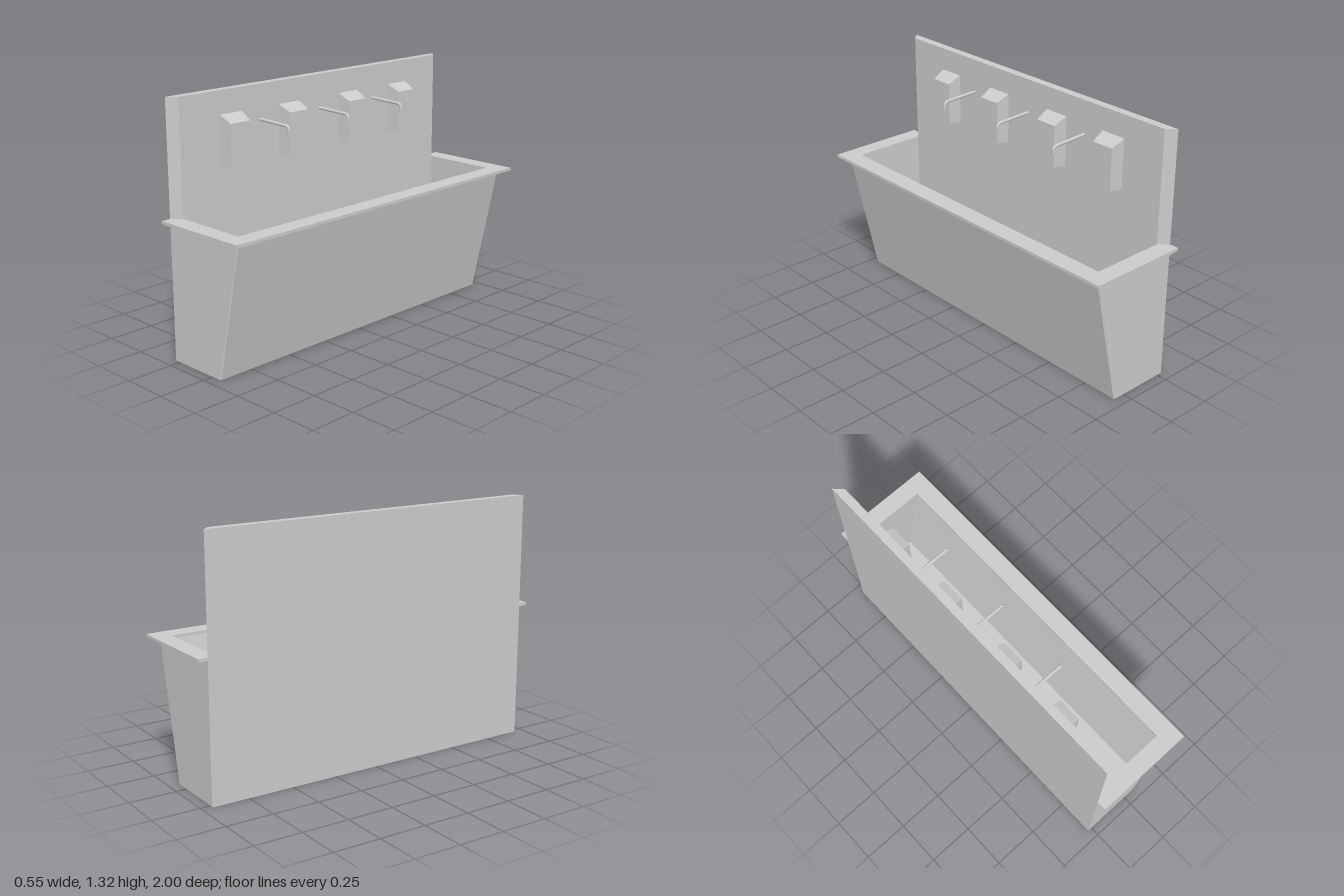
import * as THREE from 'three';

const material = new THREE.MeshStandardMaterial({ color: 0xcccccc, flatShading: true });
const smooth = new THREE.MeshStandardMaterial({ color: 0xcccccc });

const BACK = -0.274, WALL = -0.229, RIM_TOP = 0.733, RIM_LOW = 0.717;
const END = 0.95, INNER = 0.907;

function add(parent, name, geometry, mat = material) {
  const mesh = new THREE.Mesh(geometry, mat);
  mesh.name = name;
  parent.add(mesh);
  return mesh;
}

// Closed solid through convex rings, each counterclockwise seen from the last ring's side
function loft(rings) {
  const pos = [];
  const tri = (a, b, c) => pos.push(...a, ...b, ...c);
  const n = rings[0].length, last = rings[rings.length - 1];
  for (let r = 0; r < rings.length - 1; r++) {
    for (let i = 0; i < n; i++) {
      const j = (i + 1) % n, a = rings[r], b = rings[r + 1];
      tri(a[i], a[j], b[j]);
      tri(a[i], b[j], b[i]);
    }
  }
  for (let i = 1; i < n - 1; i++) {
    tri(rings[0][0], rings[0][i + 1], rings[0][i]);
    tri(last[0], last[i], last[i + 1]);
  }
  const g = new THREE.BufferGeometry();
  g.setAttribute('position', new THREE.Float32BufferAttribute(pos, 3));
  g.computeVertexNormals();
  return g;
}

// Rectangle in the plane x, facing +x
const rectX = (x, y0, y1, z0, z1) => [[x, y0, z0], [x, y1, z0], [x, y1, z1], [x, y0, z1]];

const shapeOf = (pts) => new THREE.Shape(pts.map(([x, y]) => new THREE.Vector2(x, y)));

// Outer basin section at z, inset along the bottom and the sloping front
const basinRing = (z, inset = 0) => [
  [BACK, inset, z], [0.063 - inset, inset, z], [0.07 - inset, 0.006 + inset, z],
  [0.223 - inset, RIM_LOW, z], [BACK, RIM_LOW, z],
];

function createBasin() {
  const basin = new THREE.Group();
  basin.name = 'basin';

  // Trough between the two end walls
  const floor = 0.265;
  const section = shapeOf([
    [BACK, 0], [0.063, 0], [0.07, 0.006], [0.223, RIM_LOW], [0.175, RIM_LOW],
    [0.077, floor], [WALL, floor], [WALL, RIM_LOW], [BACK, RIM_LOW],
  ]);
  const trough = new THREE.ExtrudeGeometry(section, { depth: 2 * INNER, bevelEnabled: false });
  add(basin, 'trough', trough.translate(0, 0, -INNER));

  // End walls with a fine chamfer on the outside
  add(basin, 'leftEndWall', loft([basinRing(-END, 0.005), basinRing(-END + 0.005), basinRing(-INNER)]));
  add(basin, 'rightEndWall', loft([basinRing(INNER), basinRing(END - 0.005), basinRing(END, 0.005)]));

  // Flat rim around the opening
  const rim = shapeOf([[BACK, -1], [0.272, -1], [0.272, 1], [BACK, 1]]);
  rim.holes.push(shapeOf([[WALL, -INNER], [WALL, INNER], [0.175, INNER], [0.175, -INNER]]));
  const rimGeometry = new THREE.ExtrudeGeometry(rim, { depth: RIM_TOP - RIM_LOW, bevelEnabled: false });
  add(basin, 'rim', rimGeometry.rotateX(-Math.PI / 2).translate(0, RIM_LOW, 0));
  return basin;
}

function createDispenser(z) {
  const dispenser = new THREE.Group();
  dispenser.name = 'soapDispenser';
  add(dispenser, 'dispenserBody', loft([
    rectX(WALL, 0.937, 1.203, -0.07, 0.07),
    rectX(-0.156, 0.945, 1.168, -0.061, 0.061),
  ]));
  const nozzle = add(dispenser, 'dispenserNozzle', new THREE.BoxGeometry(0.024, 0.02, 0.02));
  nozzle.position.set(-0.179, 0.94, 0);
  dispenser.position.z = z;
  return dispenser;
}

function createFaucet(z) {
  const faucet = new THREE.Group();
  faucet.name = 'faucet';
  const v = (x, y) => new THREE.Vector3(x, y, 0);
  const path = new THREE.CurvePath();
  path.add(new THREE.LineCurve3(v(WALL - 0.005, 1.144), v(-0.045, 1.138)));
  path.add(new THREE.QuadraticBezierCurve3(v(-0.045, 1.138), v(-0.021, 1.137), v(-0.02, 1.117)));
  path.add(new THREE.LineCurve3(v(-0.02, 1.117), v(-0.02, 1.098)));
  add(faucet, 'spout', new THREE.TubeGeometry(path, 48, 0.0082, 12, false), smooth);
  const tip = add(faucet, 'spoutTip', new THREE.CircleGeometry(0.0082, 12));
  tip.rotation.x = Math.PI / 2;
  tip.position.set(-0.02, 1.098, 0);
  faucet.position.z = z;
  return faucet;
}

export function createModel() {
  const model = new THREE.Group();
  model.name = 'washTrough';
  model.add(createBasin());

  // Splashback with mitred ends
  add(model, 'splashback', loft([
    rectX(BACK, RIM_TOP, 1.323, -END, END),
    rectX(WALL, RIM_TOP, 1.323, -INNER, INNER),
  ]));

  for (const z of [-0.597, -0.213, 0.21, 0.595]) model.add(createDispenser(z));
  for (const z of [-0.405, -0.006, 0.405]) model.add(createFaucet(z));
  return model;
}
